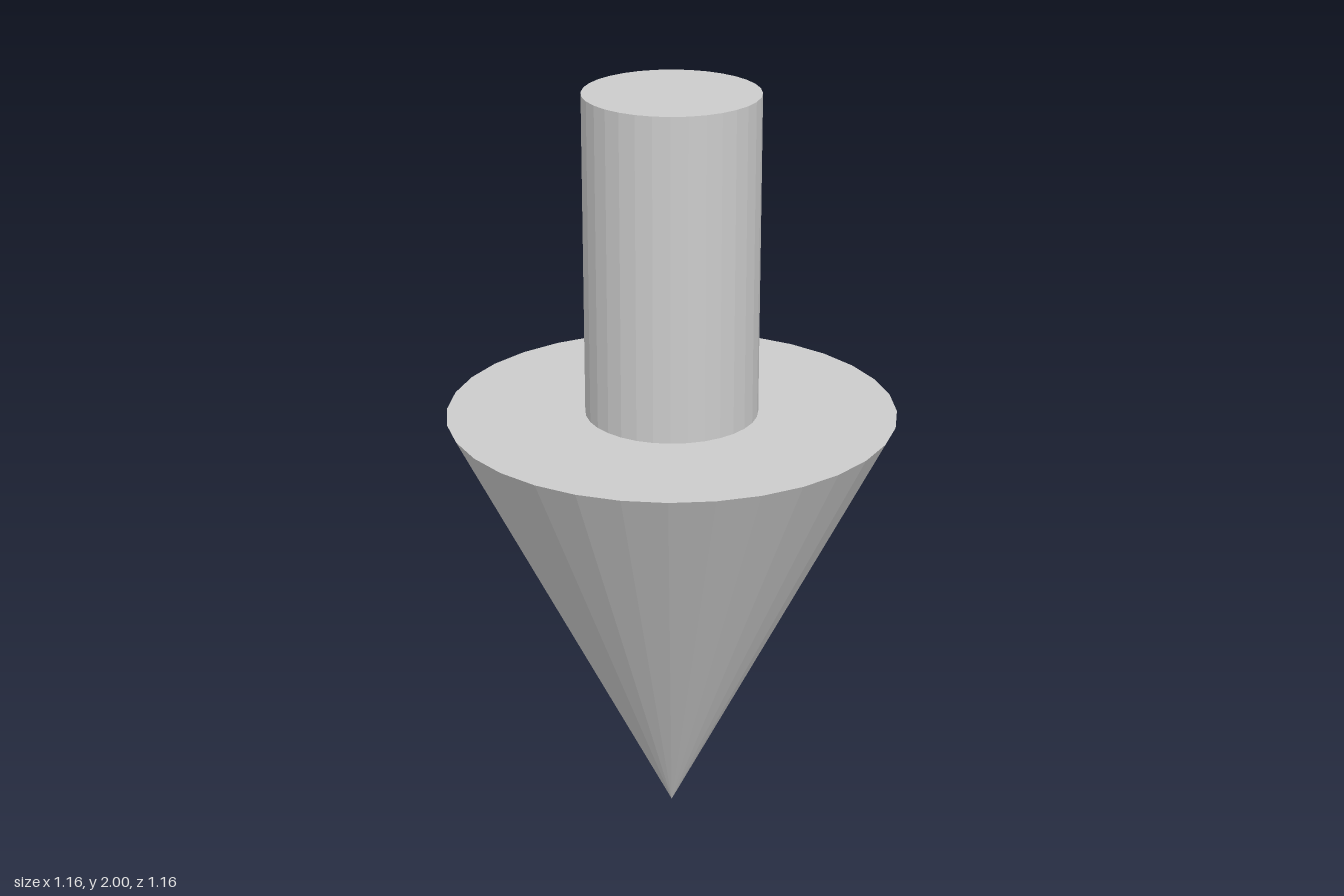
import * as THREE from 'three';

const SIDES = 32;
const HEIGHT = 2;
const HEAD_HEIGHT = 1.163;
const HEAD_RADIUS = 0.58;
const SHAFT_RADIUS = 0.223;

export function createModel() {
  const model = new THREE.Group();
  model.name = 'downArrow';
  const material = new THREE.MeshStandardMaterial({ color: 0xcccccc, flatShading: true });

  // Cone head, tip on the ground
  const headGeometry = new THREE.ConeGeometry(HEAD_RADIUS, HEAD_HEIGHT, SIDES);
  headGeometry.rotateX(Math.PI);
  const head = new THREE.Mesh(headGeometry, material);
  head.name = 'arrowHead';
  head.position.y = HEAD_HEIGHT / 2;

  // Round shaft standing on the flat back of the head
  const shaftHeight = HEIGHT - HEAD_HEIGHT;
  const shaft = new THREE.Mesh(
    new THREE.CylinderGeometry(SHAFT_RADIUS, SHAFT_RADIUS, shaftHeight, SIDES),
    material
  );
  shaft.name = 'arrowShaft';
  shaft.position.y = HEAD_HEIGHT + shaftHeight / 2;

  model.add(head, shaft);
  return model;
}
